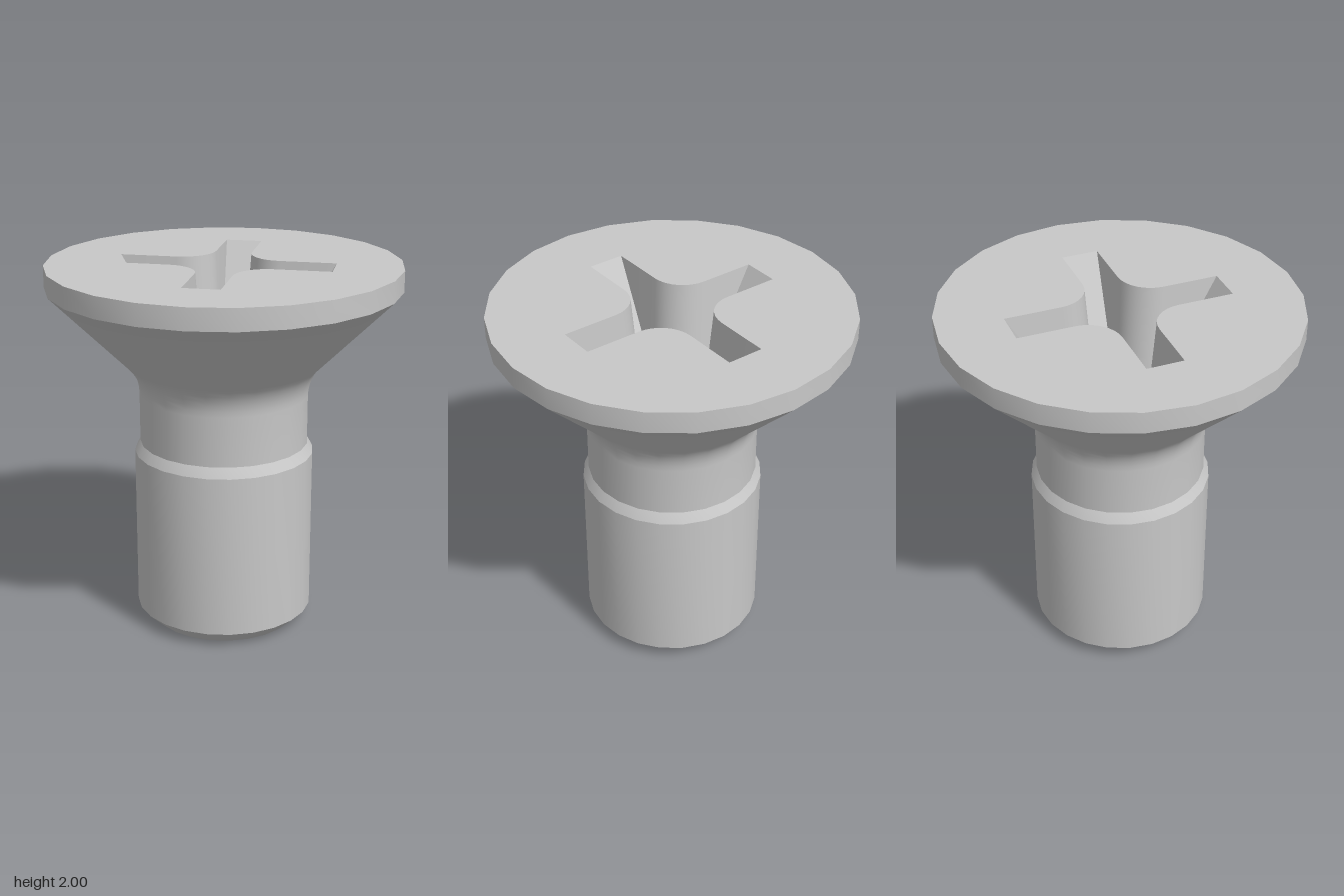
import * as THREE from 'three';
import { toCreasedNormals } from 'three/addons/utils/BufferGeometryUtils.js';

const SIDES = 24, HEAD_R = 0.94, HEIGHT = 2;
const DEPTH = 0.82, FILLET = 0.18, ARC = 8;
const FLOOR = 0.098; // half width of the square recess floor

// Cross-shaped outline of the drive recess at depth fraction t, counterclockwise from above
function recessOutline(t) {
  const reach = THREE.MathUtils.lerp(0.58, FLOOR, t);
  const half = THREE.MathUtils.lerp(0.098, FLOOR - FILLET * (1 - Math.SQRT1_2), t);
  const c = half + FILLET;
  const a0 = Math.min(Math.PI / 4, Math.asin(Math.max(0, (c - reach) / FILLET)));
  const corner = [[reach, c - FILLET * Math.cos(a0)]];
  for (let i = 0; i <= ARC; i++) {
    const a = a0 + (Math.PI / 2 - 2 * a0) * (i / ARC);
    corner.push([c - FILLET * Math.sin(a), c - FILLET * Math.cos(a)]);
  }
  corner.push([c - FILLET * Math.cos(a0), reach]);
  const points = [];
  for (let q = 0; q < 4; q++) {
    for (const [x, y] of corner) {
      points.push(new THREE.Vector2(x, y).rotateAround(new THREE.Vector2(), q * Math.PI / 2));
    }
  }
  return points;
}

// Recess walls lofted between outlines, closed by the floor
function recessGeometry() {
  const levels = [0, 0.7035];
  for (let i = 1; i <= 8; i++) levels.push(0.7035 + 0.2965 * i / 8);
  const positions = [], index = [];
  const n = recessOutline(0).length;
  for (const t of levels) {
    for (const p of recessOutline(t)) positions.push(p.x, HEIGHT - DEPTH * t, -p.y);
  }
  const last = (levels.length - 1) * n, center = last + n;
  positions.push(0, HEIGHT - DEPTH, 0);
  for (let k = 0; k < n; k++) {
    const next = (k + 1) % n;
    for (let r = 0; r < last; r += n) {
      index.push(r + k, r + next, r + n + next, r + k, r + n + next, r + n + k);
    }
    index.push(center, last + k, last + next);
  }
  const g = new THREE.BufferGeometry();
  g.setAttribute('position', new THREE.Float32BufferAttribute(positions, 3));
  g.setIndex(index);
  return toCreasedNormals(g, 0.5);
}

export function createModel() {
  const group = new THREE.Group();
  const steel = new THREE.MeshStandardMaterial({ color: 0xc8c8c8 });
  steel.name = 'steel';
  const add = (name, geometry) => {
    const mesh = new THREE.Mesh(geometry, steel);
    mesh.name = name;
    group.add(mesh);
  };

  // Shank, neck, countersunk cone and rim
  const profile = [[0, 0], [0.4, 0], [0.485, 0.08], [0.485, 0.975], [0.455, 1.03]];
  for (let i = 0; i <= 6; i++) {
    const a = (Math.PI / 4) * (i / 6);
    profile.push([0.695 - 0.24 * Math.cos(a), 1.3 + 0.24 * Math.sin(a)]);
  }
  profile.push([HEAD_R, 1.885], [HEAD_R, HEIGHT]);
  const lathe = new THREE.LatheGeometry(profile.map(([r, y]) => new THREE.Vector2(r, y)), SIDES);
  add('shankAndHead', toCreasedNormals(lathe, 0.4));

  // Flat top with the cross cut out
  const disc = new THREE.Shape();
  for (let i = 0; i < SIDES; i++) {
    const a = (i / SIDES) * Math.PI * 2;
    disc[i ? 'lineTo' : 'moveTo'](HEAD_R * Math.cos(a), HEAD_R * Math.sin(a));
  }
  disc.closePath();
  disc.holes.push(new THREE.Path(recessOutline(0)));
  add('headTop', new THREE.ShapeGeometry(disc).rotateX(-Math.PI / 2).translate(0, HEIGHT, 0));

  add('driveRecess', recessGeometry());
  return group;
}
